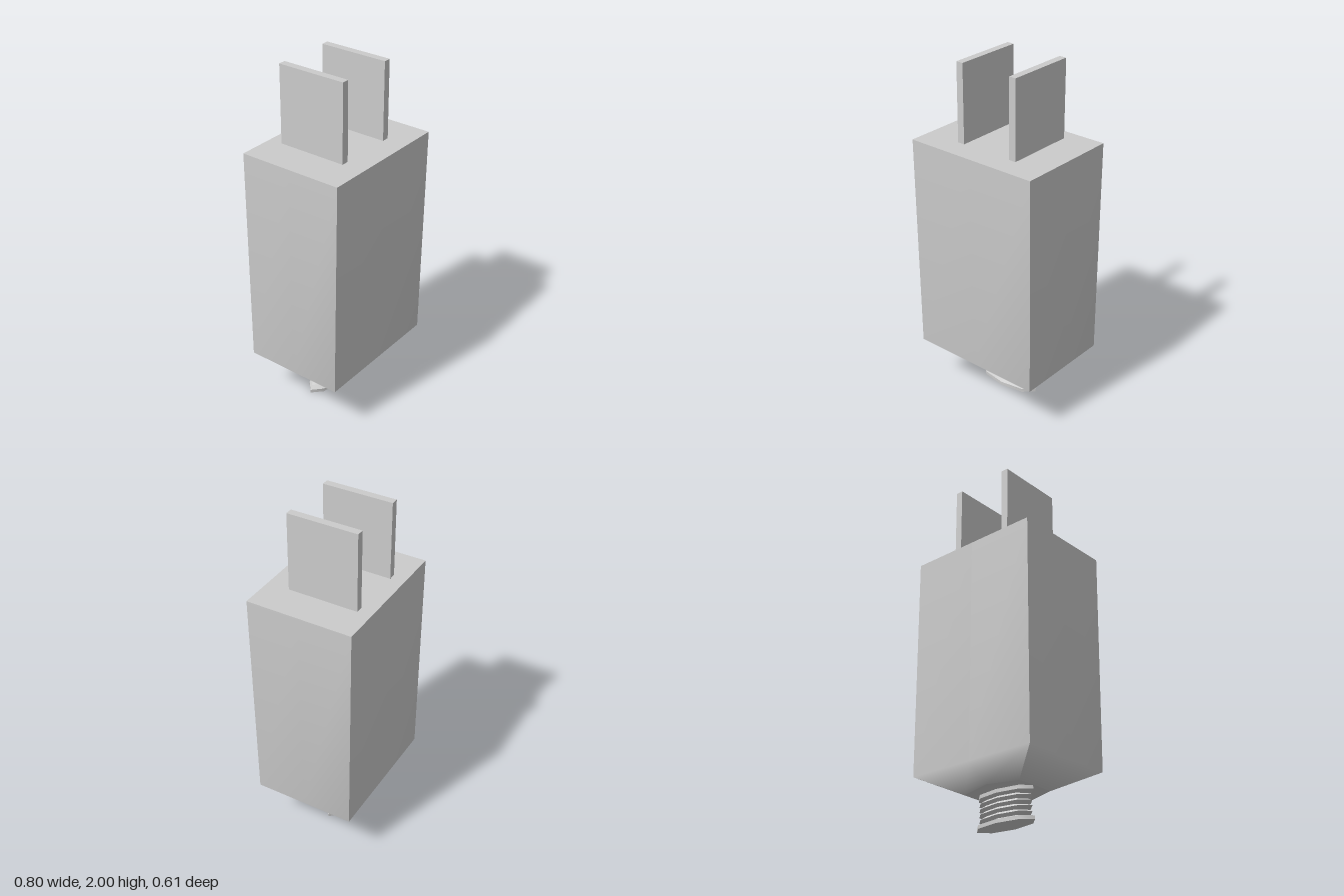
import * as THREE from 'three';
import { toCreasedNormals } from 'three/addons/utils/BufferGeometryUtils.js';

const material = new THREE.MeshStandardMaterial({ color: 0xcccccc });

function addMesh(parent, geometry, name) {
  const mesh = new THREE.Mesh(geometry, material);
  mesh.name = name;
  parent.add(mesh);
  return mesh;
}

function indexedGeometry(points, index) {
  const geometry = new THREE.BufferGeometry();
  geometry.setAttribute('position', new THREE.Float32BufferAttribute(points.flat(), 3));
  geometry.setIndex(index);
  geometry.computeVertexNormals();
  return geometry;
}

// Eight points around a rectangle: four corners and four side middles
const rectangle = (y, x, back, front) => {
  const mid = (back + front) / 2;
  return [[-x, y, front], [0, y, front], [x, y, front], [x, y, mid],
    [x, y, back], [0, y, back], [-x, y, back], [-x, y, mid]];
};

function createBody() {
  const body = new THREE.Group();
  body.name = 'body';
  const neckRing = [[-0.2, 0.1], [-0.01, 0.165], [0.175, 0.1], [0.185, -0.02],
    [0.175, -0.14], [-0.03, -0.2], [-0.2, -0.145], [-0.205, -0.02]].map(([x, z]) => [x, 0.18, z]);
  const rings = [rectangle(1.555, 0.4, -0.305, 0.305), rectangle(0.285, 0.4, -0.3, 0.288), neckRing];

  // Each side blends softly into its taper, with sharp edges between sides
  ['front', 'left', 'back', 'right'].forEach((side, s) => {
    const points = rings.flatMap(ring => [0, 1, 2].map(i => ring[(s * 2 + i) % 8]));
    const index = [];
    for (let row = 0; row < 2; row++) {
      for (let col = 0; col < 2; col++) {
        const a = row * 3 + col;
        index.push(a, a + 3, a + 1, a + 1, a + 3, a + 4);
      }
    }
    addMesh(body, indexedGeometry(points, index), side + 'Panel');
  });

  // Flat end faces
  const fan = [];
  for (let i = 1; i < 7; i++) fan.push(0, i, i + 1);
  addMesh(body, indexedGeometry(rings[0], fan), 'topFace');
  addMesh(body, indexedGeometry([...neckRing].reverse(), fan), 'bottomFace');
  return body;
}

// Ribbed eight-sided cable relief, flattened front to back
function createStrainRelief() {
  const profile = [[0, 0], [1, 0], [1, 0.02], [0.72, 0.03]];
  for (let i = 0; i < 4; i++) {
    const y = 0.046 + i * 0.029;
    profile.push([0.92, y], [0.72, y + 0.0145]);
  }
  profile.push([0.95, 0.16], [0.95, 0.18], [0, 0.18]);
  const geometry = new THREE.LatheGeometry(profile.map(([r, y]) => new THREE.Vector2(r, y)), 8);
  geometry.scale(0.196, 1, 0.077);
  geometry.translate(-0.015, 0, -0.038);
  return toCreasedNormals(geometry, 0.8);
}

export function createModel() {
  const model = new THREE.Group();
  model.name = 'powerPlug';
  model.add(createBody());
  addMesh(model, createStrainRelief(), 'strainRelief');

  // Two flat prongs
  for (const [name, x] of [['rightProng', -0.169], ['leftProng', 0.18]]) {
    const prong = addMesh(model, new THREE.BoxGeometry(0.042, 0.445, 0.403), name);
    prong.position.set(x, 1.7775, -0.024);
  }
  return model;
}
